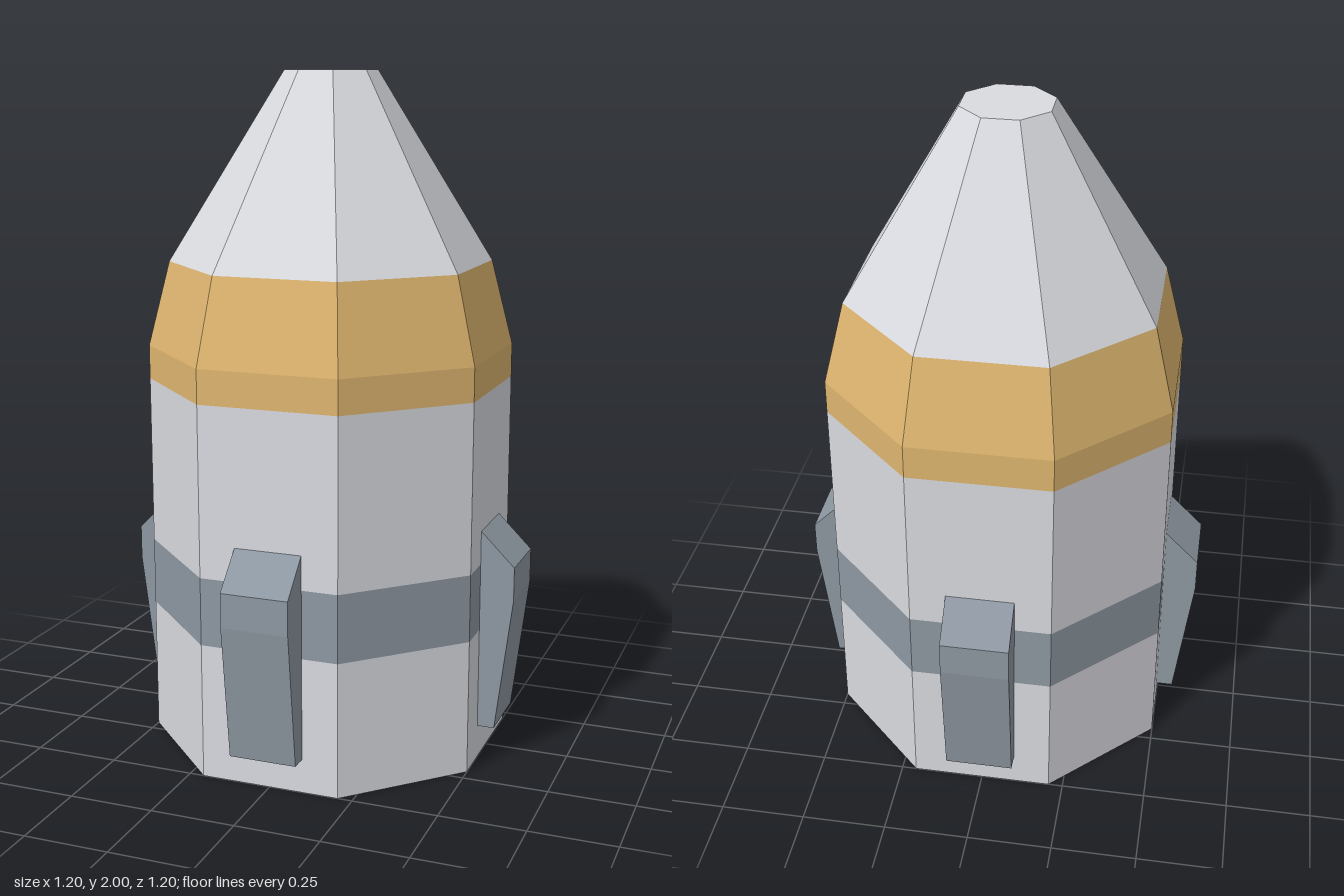
import * as THREE from 'three';

const SIDES = 8;
const mat = (name, color) => {
  const m = new THREE.MeshStandardMaterial({ color, flatShading: true });
  m.name = name;
  return m;
};

export function createModel() {
  const lightGrey = mat('light grey', 0xdadbe0);
  const gold = mat('gold', 0xdfb670);
  const steel = mat('steel grey', 0x8e98a2);

  const group = new THREE.Group();
  group.name = 'capsule';
  const add = (name, geometry, material, parent = group) => {
    const mesh = new THREE.Mesh(geometry, material);
    mesh.name = name;
    parent.add(mesh);
    return mesh;
  };

  // Octagonal hull, ring by ring: name, material, y and flat-to-centre distance at bottom and top
  const rings = [
    ['lowerHull', lightGrey, 0, 0.5, 0.4, 0.5],
    ['hullStripe', steel, 0.4, 0.5, 0.6, 0.5],
    ['upperHull', lightGrey, 0.6, 0.5, 1.1, 0.5],
    ['collarBand', gold, 1.1, 0.5, 1.2, 0.5],
    ['collarTaper', gold, 1.2, 0.5, 1.45, 0.44],
    ['noseCone', lightGrey, 1.45, 0.44, 2, 0.125],
  ];
  const k = 1 / Math.cos(Math.PI / SIDES);
  for (const [name, material, y0, r0, y1, r1] of rings) {
    const g = new THREE.CylinderGeometry(r1 * k, r0 * k, y1 - y0, SIDES, 1, true, Math.PI / SIDES);
    g.translate(0, (y0 + y1) / 2, 0);
    add(name, g, material);
  }

  // Flat end caps
  const cap = (name, r, y, tilt) => {
    const mesh = add(name, new THREE.CircleGeometry(r * k, SIDES, Math.PI / SIDES), lightGrey);
    mesh.rotation.x = tilt;
    mesh.position.y = y;
  };
  cap('noseCap', 0.125, 2, -Math.PI / 2);
  cap('basePlate', 0.5, 0, Math.PI / 2);

  // Four side pods: a side profile extruded across the width
  const profile = new THREE.Shape([
    [0.49, 0.1], [0.55, 0.1], [0.6, 0.5], [0.6, 0.6], [0.5, 0.7], [0.49, 0.7],
  ].map(([x, y]) => new THREE.Vector2(x, y)));
  const podGeometry = new THREE.ExtrudeGeometry(profile, { depth: 0.2, bevelEnabled: false });
  podGeometry.translate(0, 0, -0.1);
  ['leftPod', 'backPod', 'rightPod', 'frontPod'].forEach((name, i) => {
    add(name, podGeometry, steel).rotation.y = (i * Math.PI) / 2;
  });

  return group;
}
